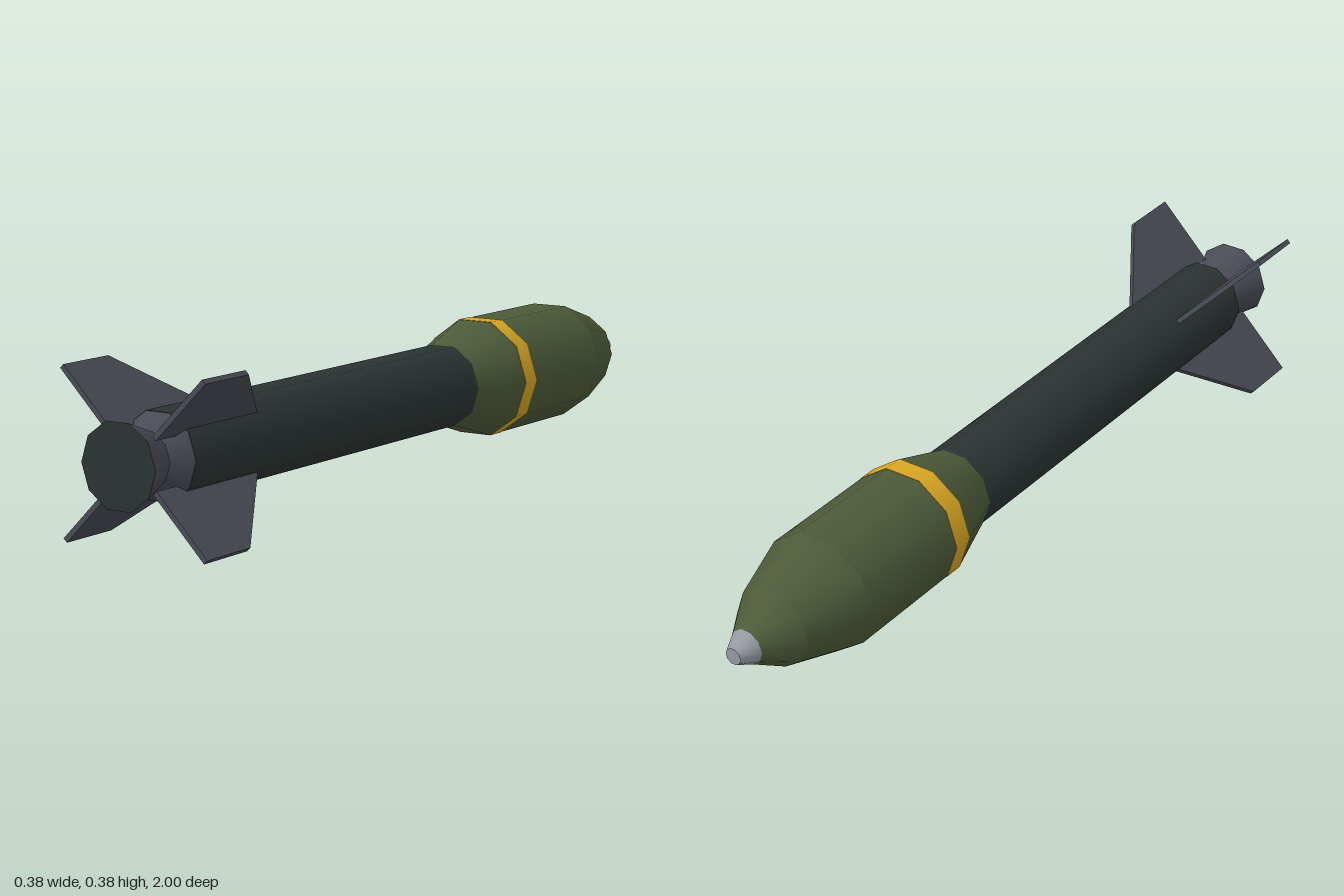
import * as THREE from 'three';

const mat = (name, color) => Object.assign(new THREE.MeshStandardMaterial({ color }), { name });

export function createModel() {
  const model = new THREE.Group();
  model.name = 'rocket';
  const tubeDark = mat('dark slate', 0x2b3433);
  const olive = mat('olive green', 0x4d5b39);
  const yellow = mat('band yellow', 0xd9a722);
  const steel = mat('fin grey', 0x494b55);
  const silver = mat('tip silver', 0x9599a1);

  // everything hangs on one long axis running along z
  const axis = new THREE.Group();
  axis.name = 'rocketBody';
  axis.position.y = 0.19;
  model.add(axis);

  // ten-sided section from z0 (radius r0) to z1 (radius r1)
  function section(name, z0, r0, z1, r1, material, open = true) {
    const g = new THREE.CylinderGeometry(r1, r0, z1 - z0, 10, 1, open, Math.PI / 2);
    g.rotateX(Math.PI / 2).translate(0, 0, (z0 + z1) / 2);
    const mesh = new THREE.Mesh(g, material);
    mesh.name = name;
    axis.add(mesh);
  }

  // warhead
  section('noseTip', -1, 0.02, -0.957, 0.042, silver, false);
  section('noseCone', -0.957, 0.042, -0.87, 0.096, olive);
  section('noseShoulder', -0.87, 0.096, -0.715, 0.145, olive);
  section('warheadBarrel', -0.715, 0.145, -0.41, 0.145, olive);
  section('warningBand', -0.41, 0.146, -0.362, 0.146, yellow, false);
  section('warheadTaper', -0.362, 0.145, -0.22, 0.1, olive);

  // motor tube, tail collar and flared nozzle with a dark mouth
  section('motorTube', -0.22, 0.1, 0.87, 0.1, tubeDark, false);
  section('tailCollar', 0.87, 0.099, 0.91, 0.063, steel);
  section('nozzle', 0.91, 0.063, 1, 0.097, [steel, tubeDark, steel], false);

  // four swept fins on the diagonals, drawn as (radius, z)
  const outline = new THREE.Shape([
    [0.08, 0.605], [0.261, 0.808], [0.261, 0.953], [0.08, 0.953],
  ].map(([r, z]) => new THREE.Vector2(r, z)));
  const finGeometry = new THREE.ExtrudeGeometry(outline, { depth: 0.012, bevelEnabled: false });
  finGeometry.translate(0, 0, -0.006).rotateX(Math.PI / 2);
  for (let i = 0; i < 4; i++) {
    const fin = new THREE.Mesh(finGeometry, steel);
    fin.name = `fin${i + 1}`;
    fin.rotation.z = Math.PI / 4 + i * Math.PI / 2;
    axis.add(fin);
  }
  return model;
}
